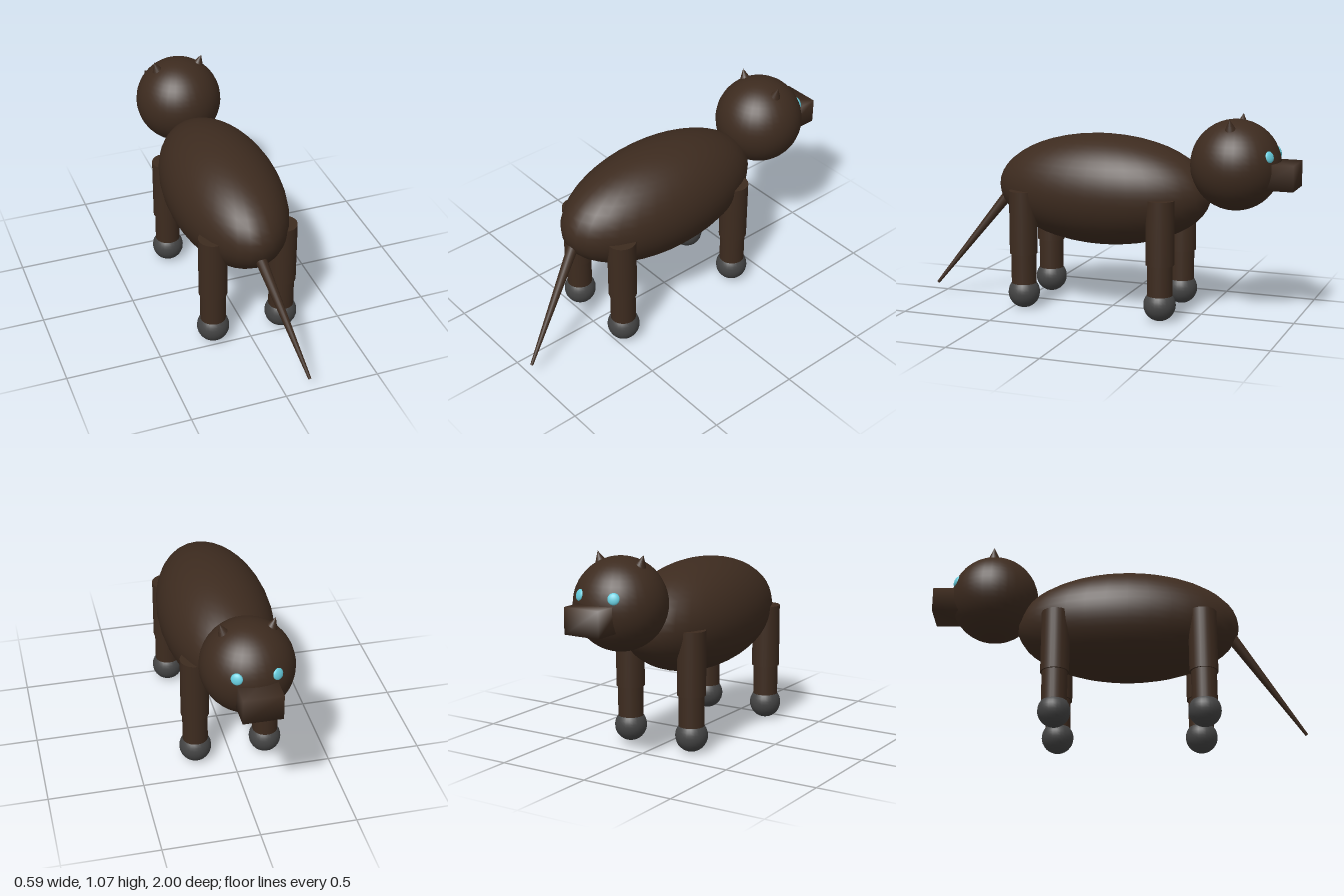
import * as THREE from 'three';
import { mergeVertices } from 'three/addons/utils/BufferGeometryUtils.js';

const fur = new THREE.MeshStandardMaterial({ color: 0x3d2b1f });
fur.name = 'darkBrownFur';
const paw = new THREE.MeshStandardMaterial({ color: 0x444444 });
paw.name = 'greyPaw';
const iris = new THREE.MeshStandardMaterial({ color: 0x66ccdd });
iris.name = 'paleBlueEye';

const UP = new THREE.Vector3(0, 1, 0);

function add(parent, name, geometry, material, x, y, z) {
  const mesh = new THREE.Mesh(geometry, material);
  mesh.name = name;
  mesh.position.set(x, y, z);
  parent.add(mesh);
  return mesh;
}

// Box with normals shared across its edges
function softBox(w, h, d) {
  const box = new THREE.BoxGeometry(w, h, d);
  box.deleteAttribute('normal');
  box.deleteAttribute('uv');
  const soft = mergeVertices(box);
  soft.computeVertexNormals();
  return soft;
}

function makeLeg(name, x, z) {
  const leg = new THREE.Group();
  leg.name = name;
  leg.position.set(x, 0, z);
  add(leg, 'upperLeg', new THREE.CylinderGeometry(0.075, 0.075, 0.34, 24), fur, 0, 0.47, 0);
  add(leg, 'lowerLeg', new THREE.CylinderGeometry(0.067, 0.067, 0.24, 24), fur, 0, 0.2, 0);
  add(leg, 'paw', new THREE.SphereGeometry(0.085, 24, 16), paw, 0, 0.085, 0);
  return leg;
}

export function createModel() {
  const model = new THREE.Group();
  model.name = 'animal';

  // Long oval body
  const body = new THREE.SphereGeometry(1, 32, 24).scale(0.297, 0.297, 0.595);
  add(model, 'body', body, fur, 0, 0.643, 0.05);

  // Head and muzzle, facing -z
  const head = new THREE.Group();
  head.name = 'headGroup';
  head.position.set(0, 0.815, -0.675);
  model.add(head);
  add(head, 'head', new THREE.SphereGeometry(0.236, 32, 24), fur, 0, 0, 0);
  add(head, 'muzzle', softBox(0.2, 0.134, 0.2), fur, 0, -0.04, -0.225);

  for (const side of [-1, 1]) {
    const label = side > 0 ? 'left' : 'right';

    // Ear cone leaning outward
    const ear = add(head, label + 'Ear', new THREE.ConeGeometry(0.045, 0.09, 20), fur, side * 0.122, 0.208, 0);
    ear.rotation.z = -side * 0.34;

    // Flattened eye lying on the head surface
    const out = new THREE.Vector3(side * 0.43, 0.28, -0.86).normalize();
    const eye = add(head, label + 'Eye', new THREE.SphereGeometry(0.03, 20, 14).scale(1, 0.45, 1), iris, 0, 0, 0);
    eye.position.copy(out).multiplyScalar(0.232);
    eye.quaternion.setFromUnitVectors(UP, out);

    model.add(makeLeg(label + 'HeadEndLeg', side * 0.19, -0.33));
    model.add(makeLeg(label + 'TailEndLeg', side * 0.19, 0.44));
  }

  // Thin tapering tail swung to one side
  const root = new THREE.Vector3(0, 0.59, 0.6);
  const tip = new THREE.Vector3(0.127, 0.072, 0.993);
  const along = tip.clone().sub(root);
  const tail = add(model, 'tail', new THREE.CylinderGeometry(0.008, 0.03, along.length(), 16), fur, 0, 0, 0);
  tail.position.copy(root).add(tip).multiplyScalar(0.5);
  tail.quaternion.setFromUnitVectors(UP, along.normalize());

  return model;
}
